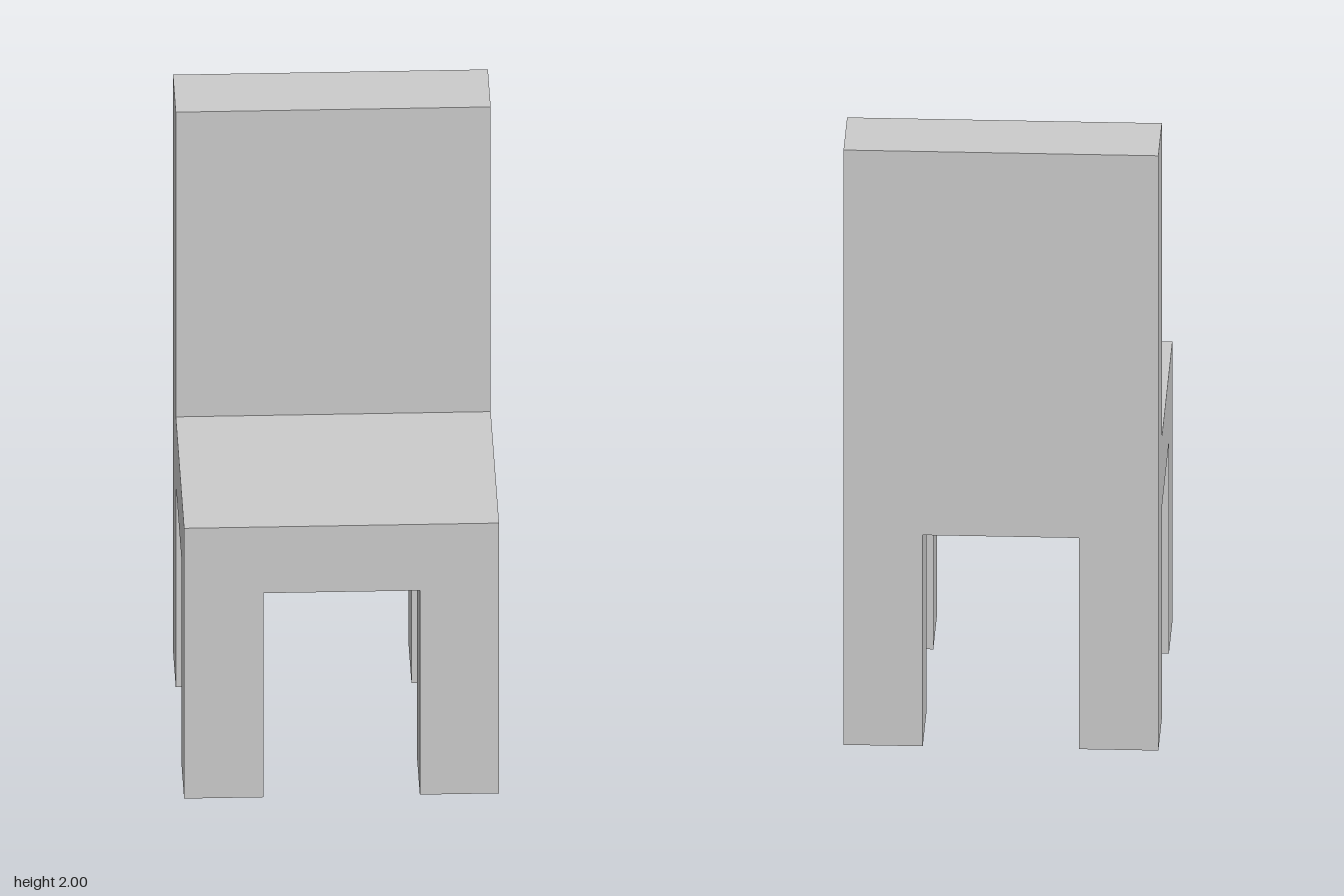
import * as THREE from 'three';

const HALF = 0.483;      // half of the seat's width and depth
const INNER = 0.24;      // inner face of legs and backrest
const SEAT_BOTTOM = 0.71;
const SEAT_TOP = 0.94;
const HEIGHT = 2;

const material = new THREE.MeshStandardMaterial({ color: 0xcccccc, flatShading: true });

// Box spanning two opposite corners
function block(name, [x0, y0, z0], [x1, y1, z1]) {
  const mesh = new THREE.Mesh(new THREE.BoxGeometry(x1 - x0, y1 - y0, z1 - z0), material);
  mesh.position.set((x0 + x1) / 2, (y0 + y1) / 2, (z0 + z1) / 2);
  mesh.name = name;
  return mesh;
}

export function createModel() {
  const chair = new THREE.Group();
  chair.name = 'chair';

  // Seat slab and the backrest standing on its rear edge
  chair.add(block('seat', [-HALF, SEAT_BOTTOM, -HALF], [HALF, SEAT_TOP, HALF]));
  chair.add(block('backrest', [-HALF, SEAT_TOP, -HALF], [HALF, HEIGHT, -INNER]));

  // Four square legs flush with the seat corners
  const leg = HALF - INNER;
  for (const [side, x] of [['Left', INNER], ['Right', -HALF]]) {
    for (const [end, z] of [['front', INNER], ['back', -HALF]]) {
      chair.add(block(`${end}${side}Leg`, [x, 0, z], [x + leg, SEAT_BOTTOM, z + leg]));
    }
  }
  return chair;
}
